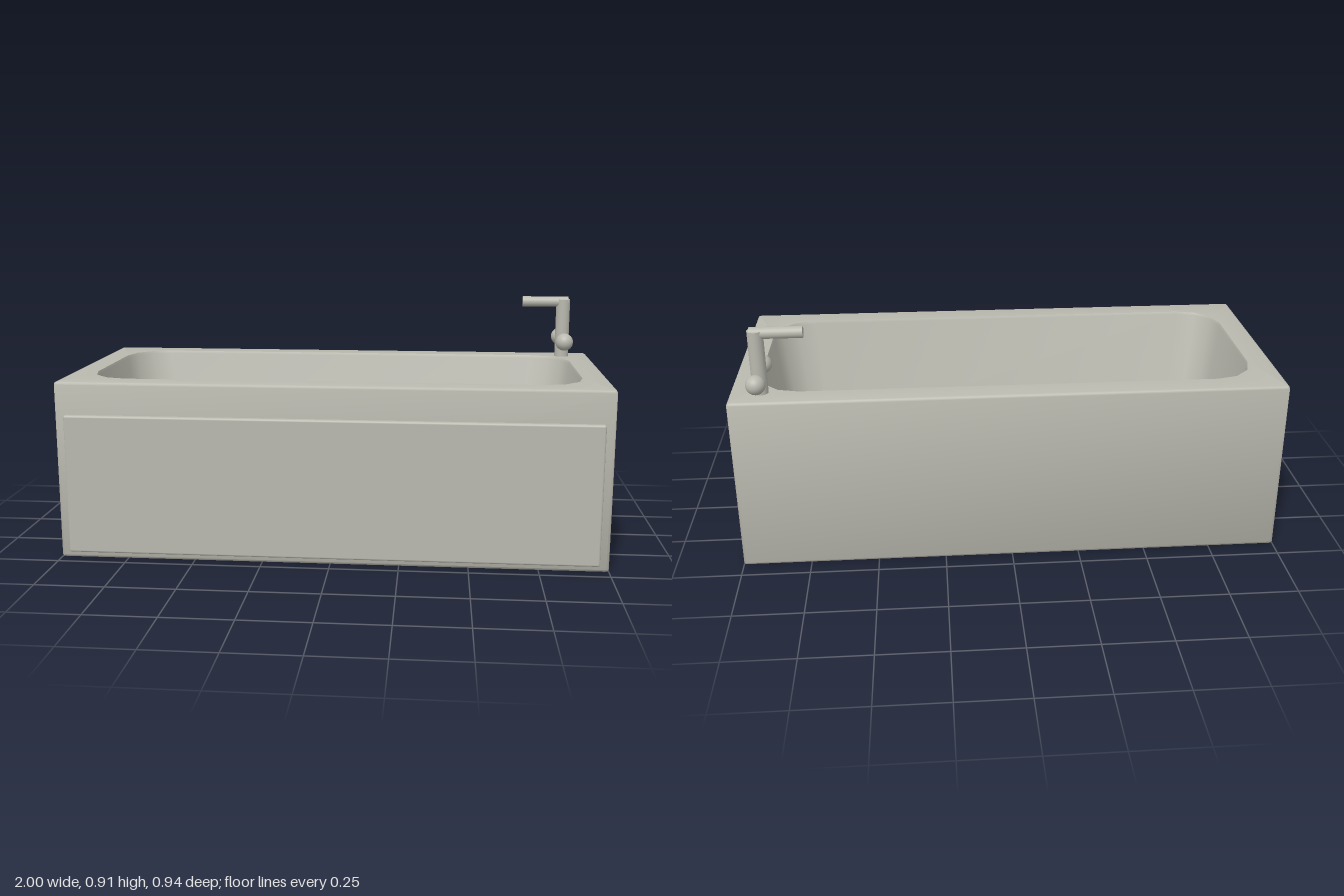
import * as THREE from 'three';
import { toCreasedNormals } from 'three/addons/utils/BufferGeometryUtils.js';
import { RoundedBoxGeometry } from 'three/addons/geometries/RoundedBoxGeometry.js';

const CORNER = 4; // points per rounded corner

// Rounded rectangle at height y: half sizes hx, hz, corner radius r
function ring(y, hx, hz, r) {
  const pts = [];
  for (let q = 0; q < 4; q++) {
    const sx = q === 0 || q === 3 ? 1 : -1;
    const sz = q < 2 ? 1 : -1;
    for (let k = 0; k < CORNER; k++) {
      const a = (q + k / (CORNER - 1)) * Math.PI / 2;
      pts.push([sx * (hx - r) + r * Math.cos(a), y, sz * (hz - r) + r * Math.sin(a)]);
    }
  }
  return pts;
}

// Skin the rings in order and close the first and last with fans
function loft(rings) {
  const n = CORNER * 4, last = (rings.length - 1) * n;
  const pos = rings.flat(2), index = [];
  const c0 = pos.length / 3, c1 = c0 + 1;
  pos.push(0, rings[0][0][1], 0, 0, rings[rings.length - 1][0][1], 0);
  for (let i = 0; i < n; i++) {
    const j = (i + 1) % n;
    for (let k = 0; k < last; k += n) {
      index.push(k + i, k + n + i, k + j, k + j, k + n + i, k + n + j);
    }
    index.push(c0, i, j, c1, last + j, last + i);
  }
  const geo = new THREE.BufferGeometry();
  geo.setAttribute('position', new THREE.Float32BufferAttribute(pos, 3));
  geo.setIndex(index);
  return toCreasedNormals(geo, 0.85);
}

export function createModel() {
  const model = new THREE.Group();
  model.name = 'bathtub';
  const enamel = new THREE.MeshStandardMaterial({ color: 0xb9b9af });
  enamel.name = 'warm grey enamel';

  function add(name, geo, x, y, z, parent = model) {
    const mesh = new THREE.Mesh(geo, enamel);
    mesh.name = name;
    mesh.position.set(x, y, z);
    parent.add(mesh);
    return mesh;
  }

  // Outer box, rim and hollow basin in one skin
  add('tub', loft([
    ring(0, 0.99, 0.435, 0.004),
    ring(0.003, 0.997, 0.442, 0.008),
    ring(0.01, 1, 0.445, 0.01),
    ring(0.65, 1, 0.445, 0.01),
    ring(0.657, 0.997, 0.442, 0.008),
    ring(0.66, 0.99, 0.435, 0.004),
    ring(0.66, 0.908, 0.355, 0.15),
    ring(0.65, 0.904, 0.351, 0.15),
    ring(0.18, 0.85, 0.30, 0.14),
    ring(0.135, 0.83, 0.28, 0.13),
    ring(0.12, 0.79, 0.24, 0.11),
  ]), 0, 0, 0.01);

  // Raised front panel
  add('frontPanel', new RoundedBoxGeometry(1.93, 0.515, 0.04, 2, 0.008), 0, 0.2825, 0.453);

  // Tap: post, spout and two round handles
  const tap = new THREE.Group();
  tap.name = 'tap';
  tap.position.set(0.89, 0, -0.343);
  model.add(tap);
  add('tapPost', new THREE.CylinderGeometry(0.028, 0.028, 0.245, 24), 0, 0.7725, 0, tap);
  const spout = add('tapSpout', new THREE.CylinderGeometry(0.021, 0.021, 0.185, 24), -0.0725, 0.885, 0, tap);
  spout.rotation.z = Math.PI / 2;
  for (const s of [-1, 1]) {
    add(s > 0 ? 'frontHandle' : 'backHandle', new THREE.SphereGeometry(0.035, 24, 16), 0, 0.73, s * 0.094, tap);
  }
  return model;
}
